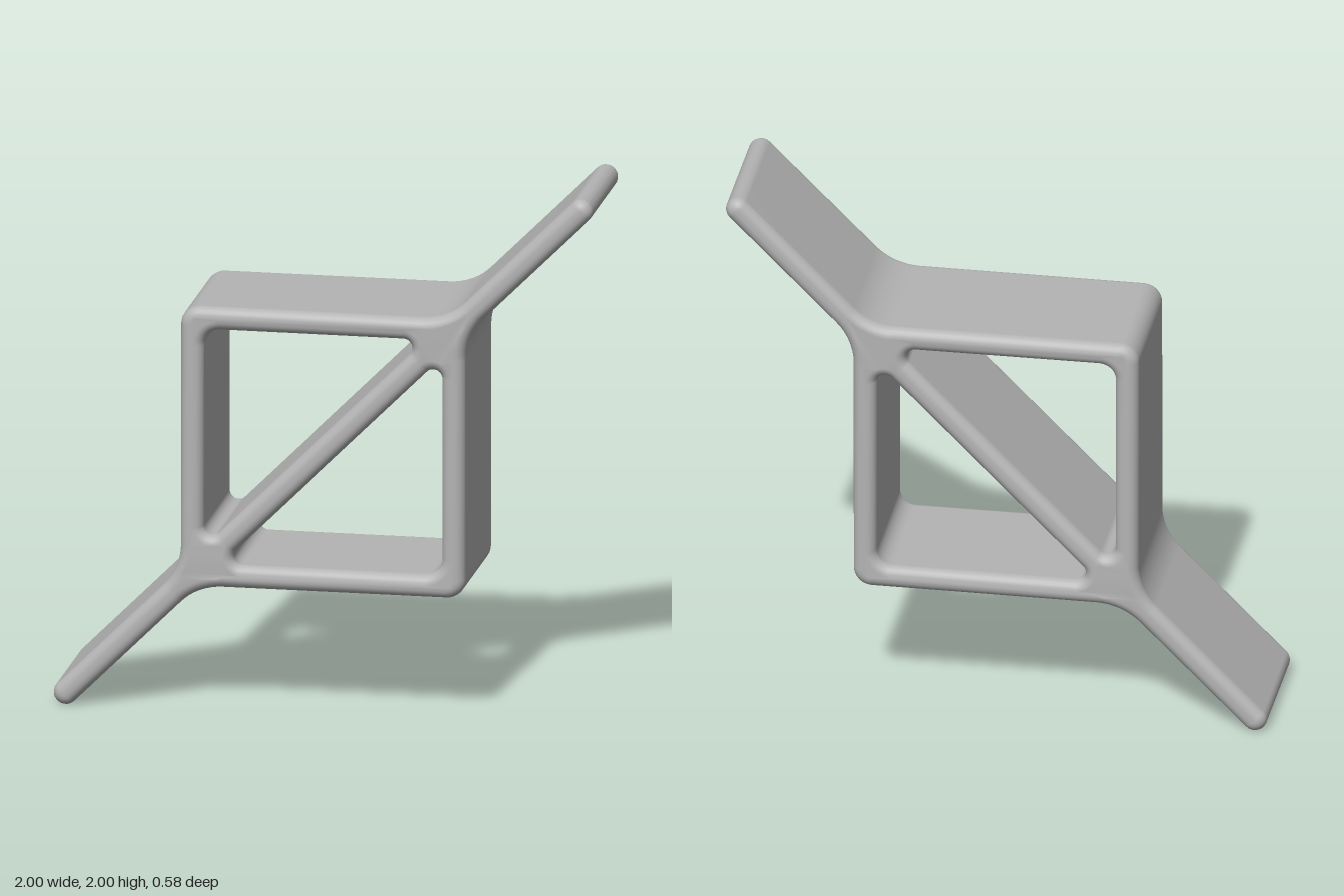
import * as THREE from 'three';
import { mergeVertices } from 'three/addons/utils/BufferGeometryUtils.js';

// Outline points of a polygon whose corners [x, y, radius] are rounded by arcs
function roundedOutline(corners, steps = 8) {
  const points = [];
  corners.forEach(([x, y, r], i) => {
    const p = new THREE.Vector2(x, y);
    const prev = corners[(i + corners.length - 1) % corners.length];
    const next = corners[(i + 1) % corners.length];
    const u = new THREE.Vector2(prev[0], prev[1]).sub(p).normalize();
    const v = new THREE.Vector2(next[0], next[1]).sub(p).normalize();
    const half = Math.acos(THREE.MathUtils.clamp(u.dot(v), -1, 1)) / 2;
    const centre = p.clone().addScaledVector(u.clone().add(v).normalize(), r / Math.sin(half));
    const start = p.clone().addScaledVector(u, r / Math.tan(half)).sub(centre);
    const end = p.clone().addScaledVector(v, r / Math.tan(half)).sub(centre);
    const sweep = Math.atan2(start.cross(end), start.dot(end));
    for (let k = 0; k <= steps; k++) {
      const a = start.angle() + (sweep * k) / steps;
      points.push(new THREE.Vector2(centre.x + r * Math.cos(a), centre.y + r * Math.sin(a)));
    }
  });
  return points;
}

export function createModel() {
  const group = new THREE.Group();
  group.name = 'slashedSquareFrame';
  const grey = new THREE.MeshStandardMaterial({ color: 0xb4b4b4 });
  grey.name = 'grey';

  const outer = 0.528, inner = 0.442; // half sizes of the square frame
  const w = 0.045, d = w * Math.SQRT2; // half thickness of the diagonal
  const c = 1 - w; // centre of the rounded diagonal tips
  const tip = 0.0445, corner = 0.07, fillet = 0.22;

  // Half of the silhouette; the other half is the same turned by 180 degrees
  const half = [
    [-c, -c - d, tip],
    [-outer + d, -outer, fillet],
    [outer, -outer, corner],
    [outer, outer - d, fillet],
    [c + d, c, tip],
  ];
  const turn = (list) => list.map(([x, y, r]) => [-x, -y, r]);
  const shape = new THREE.Shape(roundedOutline([...half, ...turn(half)]));

  // Triangular openings on both sides of the diagonal
  const opening = [
    [-inner, inner, 0.06],
    [-inner, -inner + d, 0.033],
    [inner - d, inner, 0.033],
  ];
  for (const hole of [opening, turn(opening)]) {
    shape.holes.push(new THREE.Path(roundedOutline(hole)));
  }

  // Extrude with round edges
  const bevel = 0.038, depth = 0.566;
  let geometry = new THREE.ExtrudeGeometry(shape, {
    depth: depth - 2 * bevel,
    bevelEnabled: true,
    bevelSize: bevel,
    bevelOffset: -bevel,
    bevelThickness: bevel,
    bevelSegments: 6,
    steps: 1,
  });
  geometry.translate(0, 0, bevel - depth / 2);

  // Slight swelling where the diagonal crosses the frame
  const pos = geometry.attributes.position;
  for (let i = 0; i < pos.count; i++) {
    const x = pos.getX(i), y = pos.getY(i);
    const dist = Math.min(Math.hypot(x - 0.45, y - 0.45), Math.hypot(x + 0.45, y + 0.45));
    pos.setZ(i, pos.getZ(i) * (1 + 0.025 * Math.exp(-((dist / 0.12) ** 2))));
  }

  // Smooth normals over the whole surface
  geometry.deleteAttribute('normal');
  geometry.deleteAttribute('uv');
  geometry.clearGroups();
  geometry = mergeVertices(geometry, 1e-5);
  geometry.computeVertexNormals();

  const frame = new THREE.Mesh(geometry, grey);
  frame.name = 'frameWithDiagonal';
  frame.position.y = 1;
  group.add(frame);
  return group;
}
